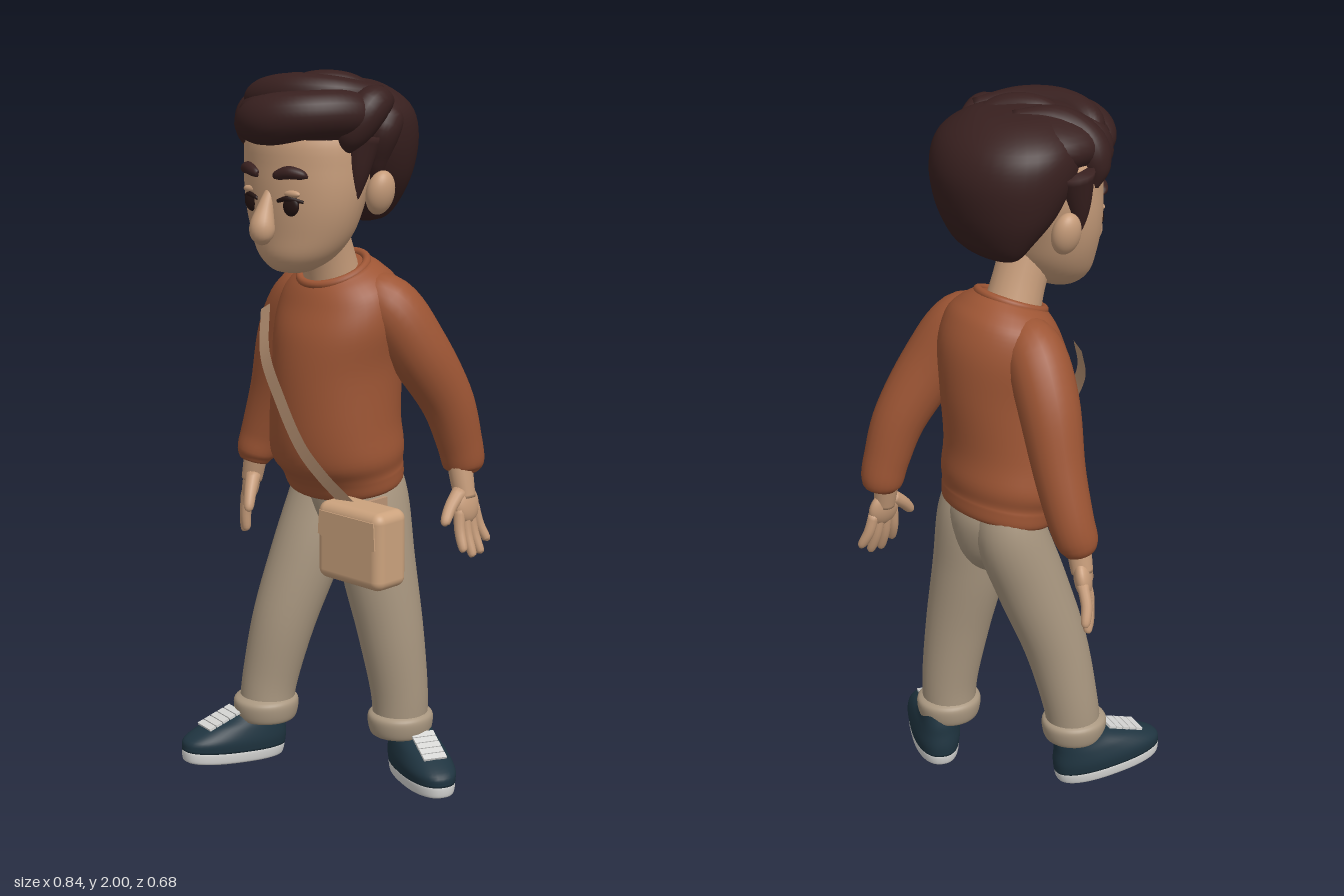
import * as THREE from 'three';
import { RoundedBoxGeometry } from 'three/addons/geometries/RoundedBoxGeometry.js';

const mat = (name, color) => Object.assign(new THREE.MeshStandardMaterial({ color }), { name });
const V = (x, y, z) => new THREE.Vector3(x, y, z);

// Closed, capped skin over a list of rings
function skin(rings) {
  const n = rings[0].length, last = (rings.length - 1) * n, pos = [], idx = [];
  rings.flat().forEach(p => pos.push(p.x, p.y, p.z));
  for (const ring of [rings[0], rings[rings.length - 1]]) {
    const c = ring.reduce((s, p) => s.add(p), V(0, 0, 0)).divideScalar(n);
    pos.push(c.x, c.y, c.z);
  }
  for (let j = 0; j < n; j++) {
    const k = (j + 1) % n;
    for (let i = 0; i < last; i += n) idx.push(i + j, i + n + j, i + k, i + k, i + n + j, i + n + k);
    idx.push(last + n, j, k, last + n + 1, last + k, last + j);
  }
  const g = new THREE.BufferGeometry();
  g.setAttribute('position', new THREE.Float32BufferAttribute(pos, 3));
  g.setIndex(idx);
  g.computeVertexNormals();
  return g;
}

const spline = pts => new THREE.CatmullRomCurve3(pts, false, 'catmullrom');
const bulge = (v, e) => Math.sign(v) * Math.abs(v) ** e;

// Horizontal rings [y, cx, cz, rx, rz, tilt]; tilt lowers the front, e < 1 squares the outline
function loft(sections, e = 1, steps = 5, n = 40) {
  const a = spline(sections.map(s => V(s[0], s[1], s[2])));
  const b = spline(sections.map(s => V(s[3], s[4], s[5] || 0)));
  const rings = [], count = (sections.length - 1) * steps;
  for (let i = 0; i <= count; i++) {
    const p = a.getPoint(i / count), r = b.getPoint(i / count);
    rings.push(Array.from({ length: n }, (_, j) => {
      const t = j / n * Math.PI * 2, dz = bulge(Math.sin(t), e) * r.y;
      return V(p.y + bulge(Math.cos(t), e) * r.x, p.x - dz * r.z, p.z + dz);
    }));
  }
  return skin(rings);
}

// Round limb through points [x, y, z, radius]
function limb(points, n = 20, steps = 6) {
  const path = spline(points.map(p => V(p[0], p[1], p[2])));
  const rad = spline(points.map(p => V(p[3], 0, 0)));
  const d = path.getPoint(1).sub(path.getPoint(0));
  const [ax, ay, az] = d.toArray().map(Math.abs);
  const ref = az <= ax && az <= ay ? V(0, 0, 1) : ax <= ay ? V(1, 0, 0) : V(0, 1, 0);
  const rings = [], count = (points.length - 1) * steps;
  for (let i = 0; i <= count; i++) {
    const t = path.getTangent(i / count), c = path.getPoint(i / count);
    const u = ref.clone().cross(t).normalize(), w = u.clone().cross(t);
    const r = Math.max(rad.getPoint(i / count).x, 0.001);
    rings.push(Array.from({ length: n }, (_, j) => {
      const q = j / n * Math.PI * 2;
      return c.clone().addScaledVector(u, Math.cos(q) * r).addScaledVector(w, Math.sin(q) * r);
    }));
  }
  return skin(rings);
}

export function createModel() {
  const skinTone = mat('skin', 0xc69c7a), wool = mat('sweater', 0x9d5534), hairMat = mat('hair', 0x38201f);
  const cloth = mat('trousers', 0xa99780), shoeMat = mat('shoe', 0x1f3440), soleMat = mat('sole', 0xd6d6d4);
  const leather = mat('bag leather', 0xcba27d), strapMat = mat('strap', 0xba9475);
  const dark = mat('eye', 0x241412);
  strapMat.side = THREE.DoubleSide;

  const model = new THREE.Group();
  const add = (name, geo, m, parent = model) => {
    const mesh = new THREE.Mesh(geo, m);
    mesh.name = name;
    parent.add(mesh);
    return mesh;
  };
  const ball = (name, m, p, s, parent) => {
    const o = add(name, new THREE.SphereGeometry(1, 32, 20), m, parent);
    o.position.set(...p);
    o.scale.set(...s);
    return o;
  };

  // Sweater body, leaning forward, with a puffed waist above the hem band
  add('sweaterBody', loft([
    [0.85, 0.01, -0.068, 0.15, 0.11, 0.22], [0.86, 0.01, -0.066, 0.18, 0.135, 0.22],
    [0.895, 0.01, -0.058, 0.186, 0.145, 0.22], [0.915, 0.01, -0.05, 0.187, 0.152, 0.2],
    [0.96, 0.008, -0.036, 0.198, 0.17, 0.18], [1.05, 0.01, -0.025, 0.188, 0.175, 0.15],
    [1.2, 0.015, -0.03, 0.18, 0.182, 0.15], [1.32, 0.02, -0.034, 0.19, 0.173, 0.2],
    [1.4, 0.02, -0.033, 0.178, 0.143, 0.25], [1.44, 0.02, -0.022, 0.145, 0.116, 0.3],
    [1.466, 0.02, -0.01, 0.104, 0.09, 0.38]]), wool);
  const collar = add('collar', new THREE.TorusGeometry(0.094, 0.012, 12, 40), wool);
  collar.rotation.x = Math.PI / 2 + 0.38;
  collar.position.set(0.02, 1.462, -0.008);

  // Sleeves and cuffs
  add('rightSleeve', limb([[-0.03, 1.405, -0.035, 0.045], [-0.125, 1.37, -0.042, 0.08], [-0.205, 1.25, -0.054, 0.084],
    [-0.268, 1.08, -0.064, 0.071], [-0.313, 0.95, -0.06, 0.063], [-0.33, 0.885, -0.048, 0.057],
    [-0.335, 0.855, -0.042, 0.042]]), wool);
  add('leftSleeve', limb([[0.07, 1.405, -0.035, 0.045], [0.155, 1.37, -0.072, 0.084], [0.207, 1.25, -0.137, 0.087],
    [0.241, 1.1, -0.225, 0.075], [0.253, 0.98, -0.267, 0.065], [0.257, 0.91, -0.284, 0.059],
    [0.259, 0.885, -0.287, 0.042]]), wool);

  // Hands: fingers hang down, thumb toward local +x
  function hand(name, p, yaw, roll) {
    const g = new THREE.Group();
    g.name = name;
    add('wrist', limb([[0, 0.04, 0, 0.035], [0, -0.01, 0, 0.033], [0, -0.06, 0, 0.03]]), skinTone, g);
    ball('palm', skinTone, [0, -0.075, 0], [0.05, 0.056, 0.025], g);
    for (let i = 0; i < 4; i++) {
      const x = -0.034 + i * 0.022, tip = -0.062 + i * 0.036, len = [0.185, 0.213, 0.216, 0.195][i];
      add('finger', limb([[x, -0.085, 0, 0.016], [(x + tip) / 2, -0.085 - (len - 0.085) * 0.55, 0.004, 0.0155],
        [tip, -len, -0.004, 0.0125], [tip, -len - 0.01, -0.006, 0.003]], 12, 4), skinTone, g);
    }
    add('thumb', limb([[0.02, -0.04, 0, 0.022], [0.064, -0.075, 0.004, 0.018], [0.095, -0.11, 0.004, 0.014],
      [0.1, -0.121, 0.004, 0.003]], 12, 4), skinTone, g);
    g.position.set(...p);
    g.rotation.set(0, yaw, roll, 'ZYX');
    model.add(g);
  }
  hand('rightHand', [-0.33, 0.855, -0.042], -0.72, -0.24);
  hand('leftHand', [0.272, 0.875, -0.26], -1.5, 0.22);

  // Trousers with rolled cuffs
  add('trouserSeat', loft([[0.66, 0.015, -0.07, 0.012, 0.02], [0.7, 0.015, -0.075, 0.055, 0.07],
    [0.76, 0.012, -0.08, 0.1, 0.1], [0.85, 0.01, -0.08, 0.14, 0.113], [0.93, 0.01, -0.07, 0.13, 0.1]]), cloth);
  const legs = {
    right: [[-0.07, 0.93, -0.075, 0.08], [-0.075, 0.82, -0.08, 0.1], [-0.095, 0.65, -0.025, 0.101],
      [-0.128, 0.45, 0.037, 0.091], [-0.157, 0.27, 0.068, 0.08], [-0.163, 0.17, 0.08, 0.077]],
    left: [[0.09, 0.93, -0.075, 0.08], [0.095, 0.82, -0.085, 0.102], [0.118, 0.65, -0.083, 0.106],
      [0.15, 0.45, -0.103, 0.094], [0.168, 0.27, -0.123, 0.082], [0.17, 0.155, -0.128, 0.077]],
  };
  for (const side in legs) {
    add(side + 'Leg', limb(legs[side].slice().reverse(), 28), cloth);
    const [x, y, z] = legs[side][5];
    add(side + 'TrouserCuff', loft([[y - 0.025, x, z, 0.066, 0.066], [y - 0.02, x, z, 0.083, 0.085],
      [y + 0.01, x, z, 0.091, 0.094], [y + 0.035, x, z, 0.089, 0.092], [y + 0.048, x, z, 0.07, 0.07]]), cloth);
  }

  // Shoes: pale sole, dark upper, laces; toe toward local +z
  function shoe(name, p, yaw, pitch) {
    const g = new THREE.Group();
    g.name = name;
    add('sole', loft([[0, 0, 0.072, 0.06, 0.153], [0.006, 0, 0.072, 0.067, 0.161], [0.03, 0, 0.072, 0.07, 0.165],
      [0.04, 0, 0.072, 0.066, 0.161]], 0.85), soleMat, g);
    add('upper', loft([[0.034, 0, 0.072, 0.07, 0.166], [0.065, 0, 0.069, 0.073, 0.163], [0.1, 0, 0.04, 0.065, 0.128],
      [0.13, 0, 0.003, 0.054, 0.087], [0.165, 0, -0.012, 0.047, 0.062]], 0.85), shoeMat, g);
    for (let i = 0; i < 5; i++) {
      const bar = add('lace', new THREE.BoxGeometry(0.068, 0.007, 0.02), soleMat, g);
      bar.position.set(0, 0.139 - i * 0.0092, 0.085 + i * 0.021);
      bar.rotation.x = 0.42;
    }
    g.position.set(...p);
    g.rotation.set(pitch, yaw, 0, 'YXZ');
    model.add(g);
  }
  shoe('rightShoe', [-0.194, 0.028, 0.1], -0.2, -0.1);
  shoe('leftShoe', [0.19, 0.005, -0.158], 1.12, -0.04);

  // Neck and head
  add('neck', limb([[0.02, 1.4, -0.015, 0.082], [0.025, 1.5, 0.02, 0.074], [0.03, 1.6, 0.06, 0.075]]), skinTone);
  add('head', loft([[1.472, 0.035, 0.165, 0.012, 0.01], [1.482, 0.035, 0.16, 0.06, 0.052],
    [1.52, 0.035, 0.143, 0.112, 0.096], [1.58, 0.035, 0.125, 0.15, 0.122], [1.66, 0.035, 0.115, 0.176, 0.14],
    [1.75, 0.035, 0.1, 0.186, 0.158], [1.85, 0.035, 0.085, 0.178, 0.165], [1.93, 0.035, 0.07, 0.1, 0.1]]), skinTone);
  add('nose', limb([[0.036, 1.7, 0.243, 0.012], [0.036, 1.65, 0.262, 0.023], [0.038, 1.603, 0.276, 0.034],
    [0.038, 1.575, 0.271, 0.027], [0.038, 1.56, 0.263, 0.006]]), skinTone);
  for (const s of [-1, 1]) {
    const x = d => 0.035 + s * d;
    ball('ear', skinTone, [x(0.198), 1.69, 0.035], [0.034, 0.06, 0.042]).rotation.z = -s * 0.25;
    ball('eye', dark, [x(0.07), 1.664, 0.238], [0.029, 0.029, 0.013]);
    ball('eyelid', skinTone, [x(0.07), 1.694, 0.238], [0.034, 0.011, 0.012]);
    add('eyelash', limb([[x(0.038), 1.674, 0.253, 0.005], [x(0.07), 1.682, 0.249, 0.007],
      [x(0.108), 1.674, 0.228, 0.004]], 8), dark);
    add('eyebrow', limb([[x(0.03), 1.738, 0.257, 0.008], [x(0.045), 1.743, 0.255, 0.014], [x(0.075), 1.75, 0.247, 0.017],
      [x(0.105), 1.745, 0.232, 0.013], [x(0.118), 1.738, 0.222, 0.003]], 12), hairMat);
    add('sideburn', limb([[x(0.172), 1.84, 0.08, 0.055], [x(0.17), 1.74, 0.095, 0.032],
      [x(0.165), 1.66, 0.1, 0.006]], 16), hairMat);
  }

  // Hair: back mass tapering to the nape, top mass and swept locks
  add('hairBack', loft([[1.595, 0.04, -0.06, 0.07, 0.025], [1.61, 0.04, -0.062, 0.115, 0.05],
    [1.65, 0.042, -0.058, 0.15, 0.09], [1.73, 0.046, -0.035, 0.196, 0.147], [1.83, 0.049, -0.008, 0.221, 0.187],
    [1.91, 0.053, 0.01, 0.208, 0.174], [1.965, 0.055, 0.03, 0.13, 0.12], [1.978, 0.055, 0.035, 0.04, 0.04]]), hairMat);
  ball('hairTop', hairMat, [0.05, 1.89, 0.085], [0.21, 0.095, 0.205]);
  const locks = [
    // broad fringe rolls sweeping across the forehead
    [[-0.06, 1.845, 0.225, 0.015], [-0.01, 1.87, 0.262, 0.05], [0.07, 1.885, 0.274, 0.066],
      [0.16, 1.9, 0.225, 0.062], [0.215, 1.9, 0.12, 0.055], [0.215, 1.87, 0, 0.02]],
    [[-0.1, 1.9, 0.18, 0.015], [-0.04, 1.93, 0.2, 0.045], [0.06, 1.947, 0.19, 0.052],
      [0.16, 1.945, 0.13, 0.048], [0.22, 1.93, 0.02, 0.035]],
    // left-hand side of the parting, rising from the temple
    [[-0.135, 1.785, 0.15, 0.01], [-0.125, 1.84, 0.16, 0.042], [-0.095, 1.895, 0.15, 0.055],
      [-0.03, 1.935, 0.1, 0.055], [0.03, 1.95, 0, 0.03]],
    [[-0.085, 1.81, 0.215, 0.008], [-0.085, 1.86, 0.205, 0.04], [-0.06, 1.905, 0.18, 0.05], [0, 1.94, 0.12, 0.03]],
    // crown and side tufts
    [[-0.02, 1.945, 0.14, 0.02], [0.05, 1.955, 0.1, 0.044], [0.12, 1.95, 0.04, 0.044], [0.16, 1.92, -0.05, 0.02]],
    [[0.19, 1.79, 0.13, 0.01], [0.215, 1.85, 0.12, 0.045], [0.235, 1.92, 0.07, 0.05], [0.2, 1.92, -0.03, 0.02]],
    [[0.2, 1.7, 0.02, 0.01], [0.215, 1.78, 0.03, 0.035], [0.235, 1.87, 0.02, 0.047], [0.18, 1.89, -0.07, 0.03]],
  ];
  locks.forEach(l => add('hairLock', limb(l, 24, 8), hairMat));

  // Strap: a flat ribbon across the chest and a short end beside the hip
  const path = spline([V(-0.135, 1.35, 0.1), V(-0.07, 1.235, 0.165), V(0, 1.12, 0.177), V(0.07, 1.005, 0.172),
    V(0.13, 0.925, 0.147), V(0.19, 0.845, 0.1)]);
  const strap = new THREE.PlaneGeometry(1, 1, 1, 40), sp = strap.attributes.position;
  for (let i = 0; i < sp.count; i++) {
    const t = 0.5 - sp.getY(i), c = path.getPoint(t), d = path.getTangent(t);
    const w = V(-d.y, d.x, 0).normalize().multiplyScalar(sp.getX(i) * 0.042);
    sp.setXYZ(i, c.x + w.x, c.y + w.y, c.z);
  }
  strap.computeVertexNormals();
  add('strap', strap, strapMat);
  add('strapEnd', new THREE.BoxGeometry(0.012, 0.04, 0.09), strapMat).position.set(0.197, 0.828, 0.012);

  // Bag with a thin flap
  add('bag', new RoundedBoxGeometry(0.235, 0.215, 0.118, 5, 0.028), leather).position.set(0.237, 0.753, 0.104);
  const flap = new THREE.Shape([[-0.1, 0.085], [-0.105, 0.02], [-0.04, -0.004], [0.03, -0.01], [0.105, 0.01], [0.1, 0.085]]
    .map(p => new THREE.Vector2(...p)));
  add('bagFlap', new THREE.ExtrudeGeometry(flap, { depth: 0.004, bevelEnabled: false }), leather).position.set(0.237, 0.753, 0.162);
  return model;
}
